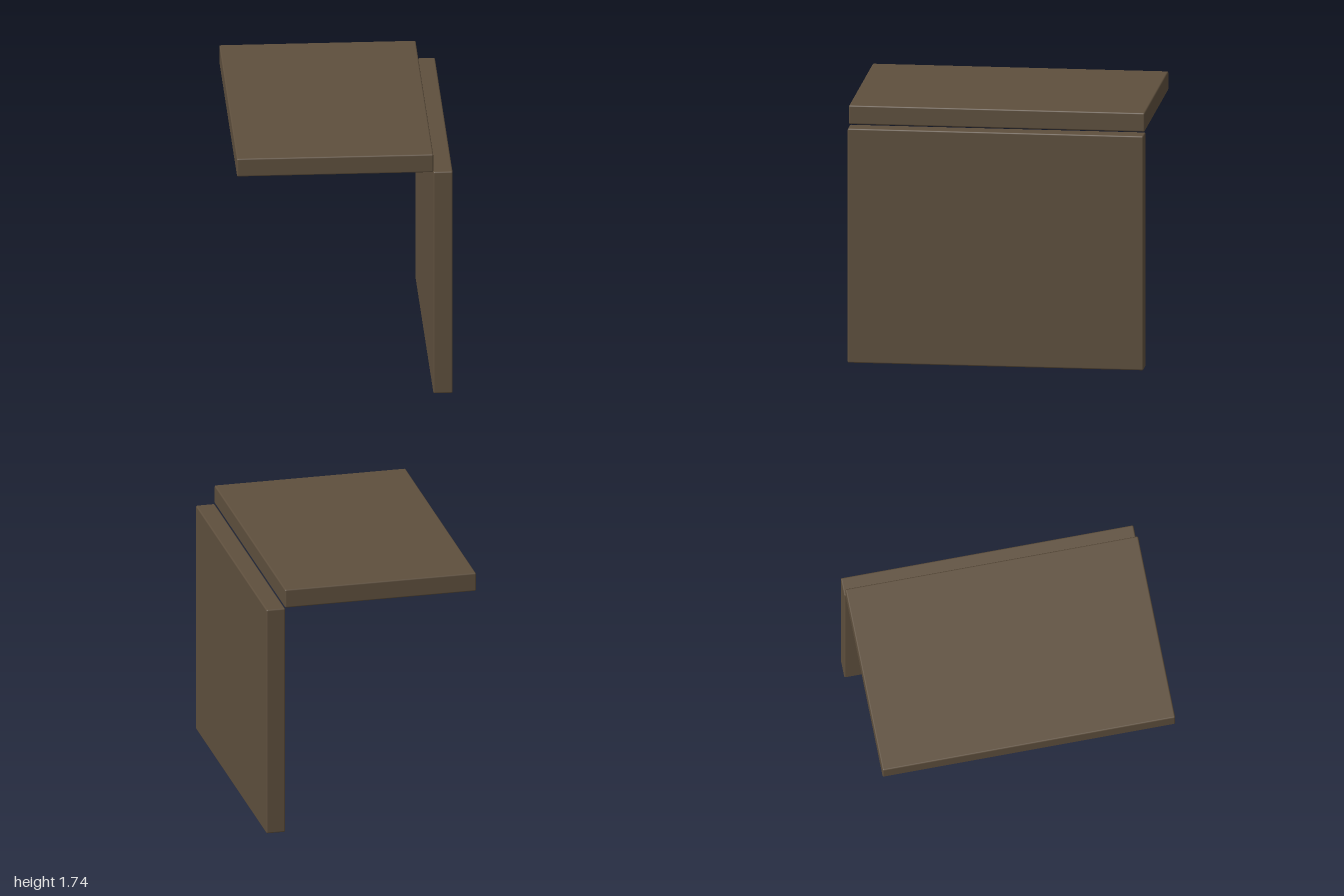
import * as THREE from 'three';
import { RoundedBoxGeometry } from 'three/addons/geometries/RoundedBoxGeometry.js';

const material = new THREE.MeshStandardMaterial({ color: 0x5e4f3d });

// Softly edged board spanning two opposite corners
function board(name, min, max) {
  const [w, h, d] = max.map((v, i) => v - min[i]);
  const mesh = new THREE.Mesh(new RoundedBoxGeometry(w, h, d, 2, 0.01), material);
  mesh.name = name;
  mesh.position.set(min[0] + w / 2, min[1] + h / 2, min[2] + d / 2);
  return mesh;
}

export function createModel() {
  const group = new THREE.Group();
  group.name = 'cornerPanels';
  // Horizontal board, meeting the upright only along its edge
  group.add(board('topPanel', [-0.723, 1.605, -0.993], [0.593, 1.735, 1]));
  // Upright board on the left, set very slightly back
  group.add(board('sidePanel', [0.593, 0, -1], [0.723, 1.605, 0.993]));
  return group;
}
